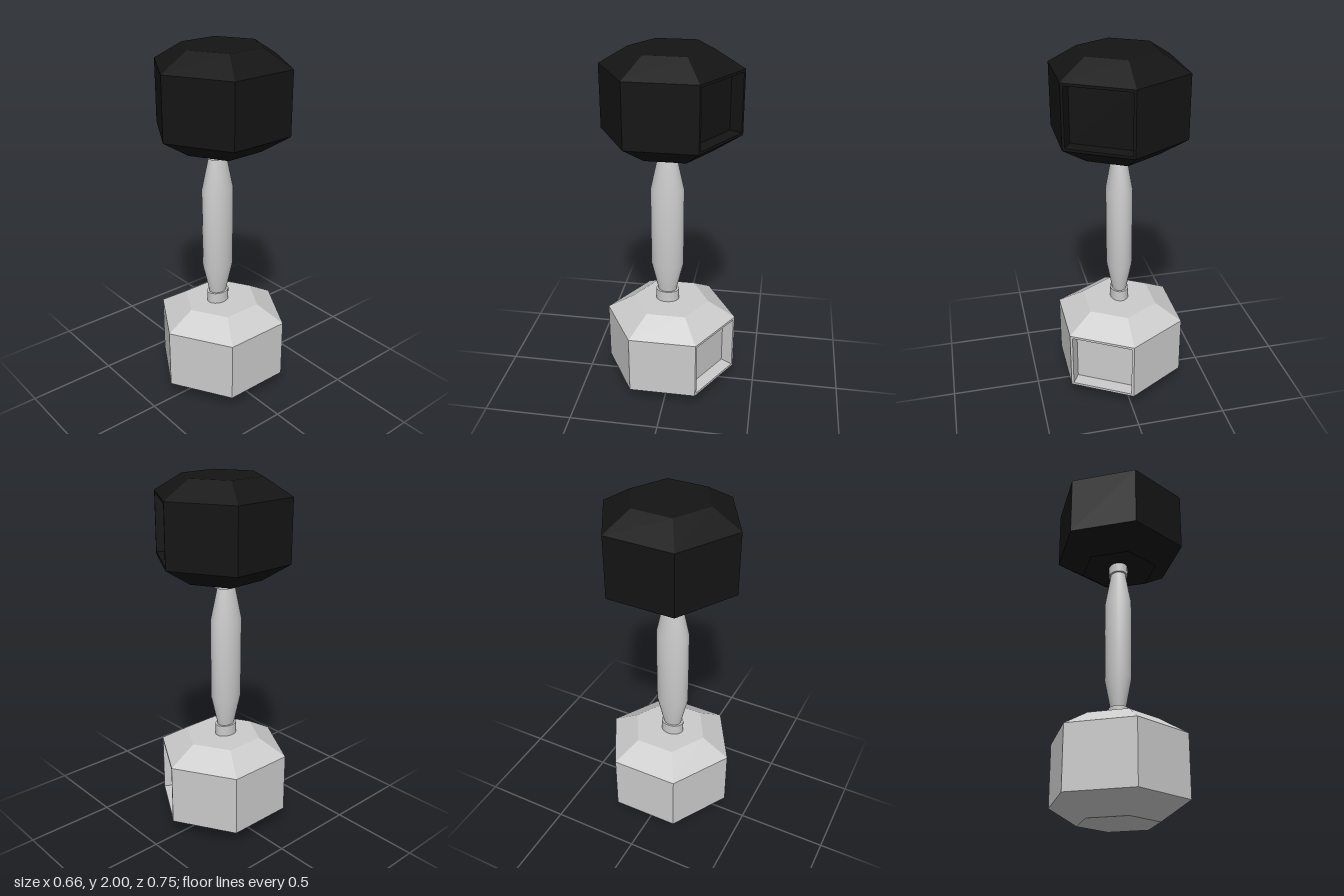
import * as THREE from 'three';

const grey = new THREE.MeshStandardMaterial({ color: 0xcccccc });
const black = new THREE.MeshStandardMaterial({ color: 0x141414 });
const R = 0.376;

// hexagon ring with corners on +z and -z
const hexRing = (r, y) => Array.from({ length: 6 }, (_, k) => {
  const a = k * Math.PI / 3;
  return new THREE.Vector3(r * Math.sin(a), y, r * Math.cos(a));
});

// push the points of a polygon as a fan
function fan(out, pts) {
  for (let i = 1; i < pts.length - 1; i++) {
    for (const p of [pts[0], pts[i], pts[i + 1]]) out.push(p.x, p.y, p.z);
  }
}

// join two rings of equal size with quads, optionally leaving one side open
function band(out, a, b, skip = -1) {
  a.forEach((p, i) => {
    const j = (i + 1) % a.length;
    if (i !== skip) fan(out, [p, a[j], b[j], b[i]]);
  });
}

// rectangle inside the side panel p-q, pulled in by a margin and sunk by a depth
function panelRing(p, q, y0, y1, margin, depth) {
  const along = q.clone().sub(p).setY(0).normalize();
  const inward = p.clone().add(q).setY(0).normalize().multiplyScalar(-depth);
  const at = (base, s, y) => base.clone().addScaledVector(along, s * margin).add(inward).setY(y);
  return [
    at(p, 1, y0 + margin), at(q, -1, y0 + margin),
    at(q, -1, y1 - margin), at(p, 1, y1 - margin),
  ];
}

// bevelled hexagonal weight with a framed pocket in one side
function headGeometry() {
  const out = [], y0 = 0.1, y1 = 0.443, side = 2;
  const rings = [hexRing(0.219, 0), hexRing(R, y0), hexRing(R, y1), hexRing(0.219, 0.537)];
  fan(out, [...rings[0]].reverse());
  for (let i = 0; i < 3; i++) band(out, rings[i], rings[i + 1], i === 1 ? side : -1);
  fan(out, rings[3]);

  const p = rings[1][side], q = rings[1][side + 1];
  const outer = panelRing(p, q, y0, y1, 0, 0);
  const rim = panelRing(p, q, y0, y1, 0.014, 0);
  const floor = panelRing(p, q, y0, y1, 0.014, 0.074);
  band(out, outer, rim);
  band(out, rim, floor);
  fan(out, floor);

  const geo = new THREE.BufferGeometry();
  geo.setAttribute('position', new THREE.Float32BufferAttribute(out, 3));
  geo.computeVertexNormals();
  return geo;
}

export function createModel() {
  const model = new THREE.Group();
  model.name = 'dumbbell';
  const add = (parent, name, geo, mat, x, y, z) => {
    const mesh = new THREE.Mesh(geo, mat);
    mesh.name = name;
    mesh.position.set(x, y, z);
    parent.add(mesh);
  };

  // weights
  const head = headGeometry();
  add(model, 'lowerWeight', head, grey, -0.002, 0, 0);
  add(model, 'upperWeight', head, black, 0.002, 1.463, 0);

  // oval handle, tapered to both ends, with a collar at each weight
  const grip = new THREE.Group();
  grip.name = 'grip';
  grip.position.set(-0.008, 0, 0.021);
  const profile = [[0.053, 0.58], [0.053, 0.605], [0.092, 0.77], [0.093, 1], [0.093, 1.23], [0.053, 1.41], [0.053, 1.43]]
    .map(([r, y]) => new THREE.Vector2(r, y));
  const handle = new THREE.LatheGeometry(profile, 24).scale(0.79, 1, 1);
  add(grip, 'handle', handle, grey, 0, 0, 0);
  const collar = new THREE.CylinderGeometry(0.066, 0.066, 0.07, 24).scale(0.79, 1, 1);
  add(grip, 'lowerCollar', collar, grey, 0, 0.565, 0);
  add(grip, 'upperCollar', collar, grey, 0, 1.445, 0);
  model.add(grip);

  return model;
}
